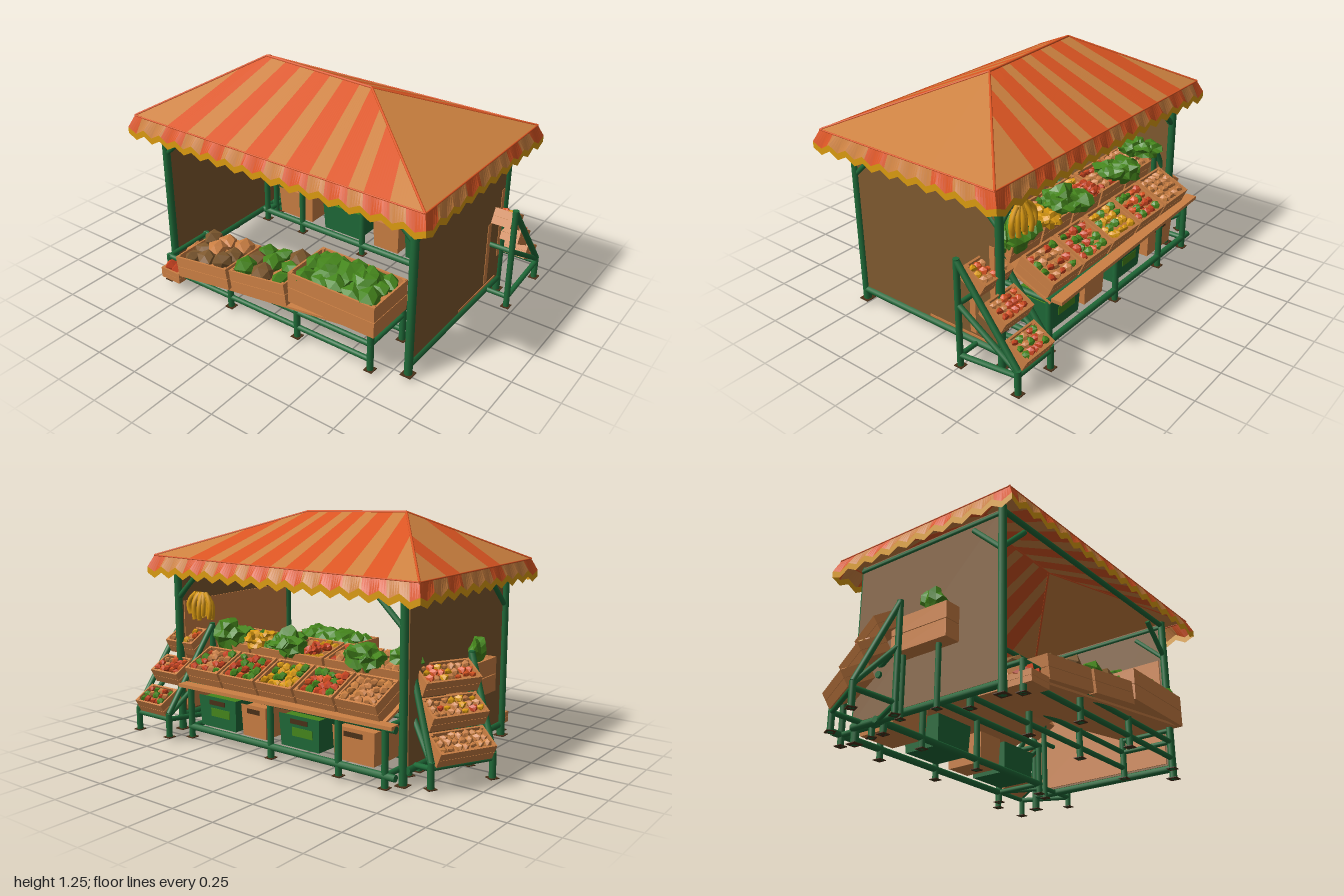
import * as THREE from 'three';

const mat = (name, color, side = THREE.FrontSide) => {
  const m = new THREE.MeshStandardMaterial({ color, side });
  m.name = name;
  return m;
};
const V = (x, y, z) => new THREE.Vector3(x, y, z);

export function createModel() {
  const frame = mat('frameGreen', 0x1f6a38), wood = mat('crateWood', 0xcc8044);
  const canvasTan = mat('canvasTan', 0xce8240, THREE.DoubleSide);
  const canvasOrange = mat('canvasOrange', 0xdc5522, THREE.DoubleSide);
  const trim = mat('trimYellow', 0xdd9c10, THREE.DoubleSide);
  const wallBrown = mat('wallBrown', 0x805a2f), dark = mat('darkBrown', 0x4a3018);
  const leaf = mat('leafGreen', 0x45861c), red = mat('produceRed', 0xc8431f);
  const root = new THREE.Group();
  root.name = 'marketStall';
  let seed = 7;
  const rnd = () => (seed = (seed * 16807) % 2147483647) / 2147483647;

  const add = (parent, name, geo, m, x = 0, y = 0, z = 0) => {
    const mesh = new THREE.Mesh(geo, m);
    mesh.name = name;
    mesh.position.set(x, y, z);
    parent.add(mesh);
    return mesh;
  };
  const box = (p, name, m, w, h, d, x, y, z) => add(p, name, new THREE.BoxGeometry(w, h, d), m, x, y, z);
  const beam = (p, name, a, b, r = 0.015, m = frame) => {
    const d = b.clone().sub(a);
    const mesh = add(p, name, new THREE.CylinderGeometry(r, r, d.length(), 10), m);
    mesh.position.copy(a).addScaledVector(d, 0.5);
    mesh.quaternion.setFromUnitVectors(V(0, 1, 0), d.normalize());
  };
  const leg = (p, x, z, top, r = 0.017, base = 0.02) => {
    beam(p, 'leg', V(x, base, z), V(x, top, z), r);
    box(p, 'footPlate', dark, r * 2.8, 0.004, r * 2.8, x, base + 0.002, z);
  };

  // Faceted, slightly irregular fruit or leafy lump
  const lump = (p, name, m, x, y, z, sx, sy, sz, rough = 0.25, detail = 0) => {
    const g = new THREE.IcosahedronGeometry(1, detail), q = g.attributes.position, s = rnd() * 9;
    for (let i = 0; i < q.count; i++) {
      const a = q.getX(i), b = q.getY(i), c = q.getZ(i);
      const k = 1 + rough * Math.sin(a * 7 + b * 11 + c * 13 + s);
      q.setXYZ(i, a * k * sx, b * k * sy, c * k * sz);
    }
    g.computeVertexNormals();
    add(p, name, g, m, x, y, z).rotation.y = rnd() * 0.5;
  };

  // Open slatted crate: d along x, w along z
  const crate = (p, d, h, w, fill, size = 0.022) => {
    const g = new THREE.Group(), t = 0.01;
    g.name = 'crate';
    p.add(g);
    box(g, 'crateBottom', wood, d, t, w, 0, t / 2, 0);
    for (const s of [-1, 1]) for (const k of [0.25, 0.75]) {
      box(g, 'crateSideSlat', wood, t, h * 0.48, w, s * (d - t) / 2, h * k, 0);
      box(g, 'crateEndSlat', wood, d, h * 0.48, t, 0, h * k, s * (w - t) / 2);
    }
    for (const a of [-1, 1]) for (const b of [-1, 1])
      box(g, 'crateCorner', wood, 0.016, h, 0.016, a * (d / 2 - 0.013), h / 2, b * (w / 2 - 0.013));
    box(g, 'produceBed', wood, d - 0.022, h * 0.7, w - 0.022, 0, h * 0.36, 0);
    const nx = Math.max(2, Math.round(d / size / 2.2)), nz = Math.max(2, Math.round(w / size / 2.2));
    for (let i = 0; i < nx; i++) for (let j = 0; j < nz; j++)
      lump(g, 'produce', fill[Math.floor(rnd() * fill.length)], ((i + 0.5) / nx - 0.5) * (d - 0.03),
        h * 0.8 + rnd() * size * 0.9, ((j + 0.5) / nz - 0.5) * (w - 0.03), size, size * 0.9, size * 1.1);
    return g;
  };

  // Roof: four slopes and a scalloped valance, striped by position along the eave
  const F = V(-0.08, 1.22, 0.31), B = V(-0.08, 1.243, -0.34), eave = 0.985;
  const C = [V(-0.62, eave, 0.94), V(0.48, eave, 0.94), V(0.48, eave, -0.78), V(-0.62, eave, -0.78)];
  const tris = new Map([[canvasTan, []], [canvasOrange, []], [trim, []]]);
  const quad = (m, a, b, c, d) => {
    for (const v of [a, b, c, a, c, d]) tris.get(m).push(v.x, v.y, v.z);
  };
  const stripes = { 1: [-0.54, -0.3, -0.06, 0.165, 0.38, 0.6], 3: [-0.48, -0.225, 0.025, 0.27, 0.49, 0.7] };
  const bandZ = (s, z) => stripes[s].some(c => Math.abs(z - c) < 0.065);
  const bandX = x => (x > -0.275 && x < -0.15) || (x > 0.12 && x < 0.245);
  // Upper end of the cloth line that starts at eave point e: on the ridge or cut off by a hip
  const topOf = (s, e, a, b) => {
    if (s === 0) return F;
    if (s === 2) {
      const side = e.x > B.x ? a : b;
      return side.clone().lerp(B, (e.x - side.x) / (B.x - side.x));
    }
    const r = e.z * 0.72;
    if (r <= F.z && r >= B.z) return F.clone().lerp(B, (F.z - r) / (F.z - B.z));
    const apex = r > F.z ? F : B, corner = (r > F.z) === (a.z > b.z) ? a : b;
    const gap = Math.abs(corner.z - e.z);
    return corner.clone().lerp(apex, gap / (gap + Math.abs(r - apex.z)));
  };
  for (let s = 0; s < 4; s++) {
    const a = C[s], b = C[(s + 1) % 4], along = s % 2, scallops = along ? 16 : 10, n = scallops * 8;
    const lowA = V(a.x + Math.sign(a.x) * 0.03, 0, a.z + Math.sign(a.z) * 0.025);
    const lowB = V(b.x + Math.sign(b.x) * 0.03, 0, b.z + Math.sign(b.z) * 0.025);
    const low = (t, dy) => {
      const v = lowA.clone().lerp(lowB, t), tooth = Math.abs(((t * scallops) % 1) - 0.5) * 2;
      v.y = 0.872 + 0.03 * tooth - 0.012 * Math.pow(Math.abs(2 * t - 1), 8) + dy;
      return v;
    };
    for (let i = 0; i < n; i++) {
      const t0 = i / n, t1 = (i + 1) / n, e0 = a.clone().lerp(b, t0), e1 = a.clone().lerp(b, t1);
      const mid = e0.clone().lerp(e1, 0.5);
      const band = along ? bandZ(s, mid.z) : bandX(mid.x);
      const corner = along ? mid.z > 0.84 || mid.z < -0.72 : mid.x < -0.52 || mid.x > 0.375;
      quad(band && s !== 0 ? canvasOrange : canvasTan, e0, e1, topOf(s, e1, a, b), topOf(s, e0, a, b));
      quad(band || corner ? canvasOrange : canvasTan, low(t0, 0.034), low(t1, 0.034), e1, e0);
      quad(trim, low(t0, 0), low(t1, 0), low(t1, 0.034), low(t0, 0.034));
    }
    beam(root, 'hipTrim', a, s < 2 ? F : B, 0.006, canvasOrange);
    beam(root, 'eaveTrim', a, b, 0.004, canvasOrange);
  }
  beam(root, 'ridgeTrim', F, B, 0.007, canvasOrange);
  for (const [m, list] of tris) {
    const g = new THREE.BufferGeometry();
    g.setAttribute('position', new THREE.Float32BufferAttribute(list, 3));
    g.computeVertexNormals();
    add(root, m === trim ? 'scallopTrim' : 'roofCanvas', g, m);
  }

  // Corner posts, braces, rails and end walls
  for (const [x, z] of [[-0.51, 0.835], [0.41, 0.835], [-0.51, -0.69], [0.41, -0.66]]) {
    const sx = Math.sign(x), sz = Math.sign(z);
    leg(root, x, z, 0.97, 0.021, x > 0 ? 0 : 0.02);
    beam(root, 'brace', V(x, 0.74, z), V(x - sx * 0.17, 0.9, z), 0.014);
    beam(root, 'brace', V(x, 0.75, z), V(x, 0.91, z - sz * 0.17), 0.014);
  }
  for (const z of [0.835, -0.68]) {
    beam(root, 'bottomRail', V(-0.51, 0.08, z), V(0.41, 0.08, z), 0.02);
    beam(root, 'topRail', V(-0.51, 0.94, z), V(0.41, 0.94, z), 0.015);
    box(root, 'endWall', wallBrown, 0.91, 0.86, 0.012, -0.05, 0.53, z);
  }
  box(root, 'innerWallPanel', wood, 0.86, 0.62, 0.006, -0.05, 0.42, 0.825);
  box(root, 'wallEdgePatch', wood, 0.03, 0.4, 0.004, 0.37, 0.44, 0.842);
  box(root, 'wallEdgePatch', wood, 0.035, 0.36, 0.004, 0.243, 0.31, 0.842);
  box(root, 'wallEdgePatch', wood, 0.4, 0.012, 0.004, 0.16, 0.112, 0.842);
  for (const x of [-0.51, 0.41]) beam(root, 'topRail', V(x, 0.95, 0.835), V(x, 0.95, -0.68), 0.015);

  // Display counter on the left side
  for (const x of [0.24, 0.53]) {
    for (const z of [0.63, 0.06, -0.37, -0.64]) leg(root, x, z, 0.31);
    for (const y of [0.08, 0.31]) beam(root, 'counterRail', V(x, y, 0.64), V(x, y, -0.7), 0.018);
  }
  for (const z of [0.63, -0.64]) for (const y of [0.08, 0.31])
    beam(root, 'counterCrossRail', V(0.24, y, z), V(0.53, y, z));
  const lip = box(root, 'counterLip', wood, 0.06, 0.018, 1.34, 0.56, 0.325, -0.03);
  lip.rotation.y = 0.03;
  const board = box(root, 'counterBoard', wood, 0.42, 0.012, 1.27, 0.35, 0.38, 0.01);
  board.rotation.z = -0.35;
  const fills = [[leaf, leaf, red, wood], [leaf, canvasOrange, red, leaf], [trim, trim, leaf, trim],
    [red, canvasOrange, leaf, red], [wood, wood, canvasTan]];
  fills.forEach((f, i) => {
    const c = crate(root, 0.21, 0.105, 0.235, f);
    c.position.set(0.425, 0.36, 0.52 - i * 0.252);
    c.rotation.z = -0.42;
    const back = crate(root, 0.2, 0.1, 0.235, [wood, f[0]]);
    back.position.set(0.2, 0.45, 0.52 - i * 0.252);
    back.rotation.z = -0.25;
  });
  const piles = [[0.57, leaf, 0.13], [0.36, trim, 0.075], [0.15, leaf, 0.12], [-0.04, red, 0.05],
    [-0.33, leaf, 0.125], [-0.59, leaf, 0.1]];
  for (const [z, m, s] of piles) for (let k = 0; k < 5; k++)
    lump(root, 'producePile', m, 0.27 + (rnd() - 0.5) * 0.12, 0.54 + rnd() * 0.03 + (z < -0.5 ? 0.03 : 0),
      z + (k - 2) * s * 0.22, s * 0.6, s * (k === 2 ? 0.6 : 0.42), s * 0.52, 0.3, 1);

  // Storage bins below the counter
  for (const [z, w, m] of [[0.465, 0.27, frame], [0.205, 0.17, wood], [-0.1, 0.26, frame], [-0.435, 0.25, wood]]) {
    const shape = new THREE.CylinderGeometry(0.707, 0.66, 1, 4, 1, true).toNonIndexed();
    shape.rotateY(Math.PI / 4).scale(0.24, 0.17, w).computeVertexNormals();
    add(root, 'storageBin', shape, m, 0.38, 0.175, z);
    box(root, 'binBottom', m, 0.22, 0.01, w * 0.92, 0.38, 0.095, z);
    box(root, 'binFill', m === frame ? leaf : wood, 0.21, 0.02, w * 0.92, 0.38, 0.235, z);
    box(root, 'binHandle', dark, 0.008, 0.025, Math.min(0.11, w * 0.5), 0.498, 0.228, z);
    if (m === frame) box(root, 'binPatch', leaf, 0.006, 0.045, w * 0.5, 0.496, 0.175, z - 0.02);
  }

  // Stepped rack: descends along its own +x
  const rack = (x, z, turn, w, depth, list) => {
    const g = new THREE.Group();
    g.name = 'steppedRack';
    g.position.set(x, 0, z);
    g.rotation.y = turn;
    root.add(g);
    for (const s of [-1, 1]) {
      const e = s * w / 2;
      leg(g, 0, e, 0.6, 0.016);
      leg(g, depth, e, 0.15);
      beam(g, 'slopeRail', V(0, 0.59, e), V(depth, 0.15, e), 0.016);
      beam(g, 'lowerBrace', V(0, 0.36, e), V(depth, 0.14, e), 0.014);
      beam(g, 'baseRail', V(0, 0.08, e), V(depth, 0.12, e), 0.014);
    }
    for (const [a, y] of [[0, 0.08], [0, 0.36], [depth, 0.12]])
      beam(g, 'crossRail', V(a, y, -w / 2), V(a, y, w / 2), 0.013);
    list.forEach((f, i) => {
      const c = crate(g, 0.14, 0.085, w - 0.035, f, 0.019);
      c.position.set(depth * (0.2 + i * 0.34) - 0.02, 0.46 - i * 0.15, 0);
      c.rotation.z = -0.5;
    });
  };
  rack(0.265, 0.845, 0, 0.24, 0.345, [[trim, canvasOrange, wood], [red, canvasOrange, wood], [leaf, red, wood]]);
  rack(0.17, -0.715, 1.094, 0.34, 0.2, [[trim, canvasOrange, wood], [red, trim, wood], [wood, canvasTan]]);

  // Low stand with stepped crates on the right side
  for (const x of [-0.59, -0.3]) {
    for (const z of [0.67, 0.23, -0.21, -0.65]) leg(root, x, z, z > 0.5 ? 0.25 : 0.18);
    for (const y of [0.08, 0.17]) beam(root, 'standRail', V(x, y, 0.68), V(x, y, -0.66), 0.014);
  }
  for (const [z, y] of [[0.67, 0.235], [0.67, 0.17], [-0.65, 0.17]])
    beam(root, 'standCrossRail', V(-0.6, y, z), V(-0.3, y, z), 0.013);
  const slope = box(root, 'standBoard', wood, 0.36, 0.012, 1.26, -0.44, 0.185, 0.08);
  slope.rotation.x = -0.13;
  const steps = [[0.47, 0.26, 0.5, 0.17, [leaf]], [0.03, 0.2, 0.36, 0.12, [leaf, leaf, wallBrown]],
    [-0.35, 0.14, 0.36, 0.12, [wallBrown, leaf, wood]], [-0.6, 0.06, 0.13, 0.06, [red, wood]]];
  for (const [z, y, w, h, f] of steps) {
    const c = crate(root, 0.29, h, w, f, 0.05);
    c.position.set(-0.5, y, z);
    c.rotation.x = h === 0.12 ? -0.15 : 0;
  }
  for (const z of [0.36, 0.47, 0.58]) lump(root, 'greens', leaf, -0.48, 0.42, z, 0.1, 0.06, 0.09, 0.2, 1);

  // Crate on legs beside the back wall
  const side = crate(root, 0.34, 0.18, 0.09, [wood]);
  side.position.set(-0.09, 0.34, -0.735);
  for (const x of [-0.18, 0.04]) leg(root, x, -0.735, 0.34, 0.014);
  lump(root, 'greens', leaf, -0.14, 0.57, -0.735, 0.06, 0.06, 0.04, 0.3, 1);

  // Hanging banana bunch
  for (let i = 0; i < 14; i++) {
    const a = i * 2.4, r = 0.04 + 0.05 * (i / 14), c = Math.cos(a) * 0.45, s = Math.sin(a);
    const path = new THREE.QuadraticBezierCurve3(V(0, 0.79, s * r * 0.5), V(c * r * 1.5, 0.74, s * r * 1.5),
      V(c * r, 0.645 + (i % 3) * 0.015, s * r));
    add(root, 'banana', new THREE.TubeGeometry(path, 5, 0.013, 6), trim, 0.4, 0, 0.665);
  }
  return root;
}
